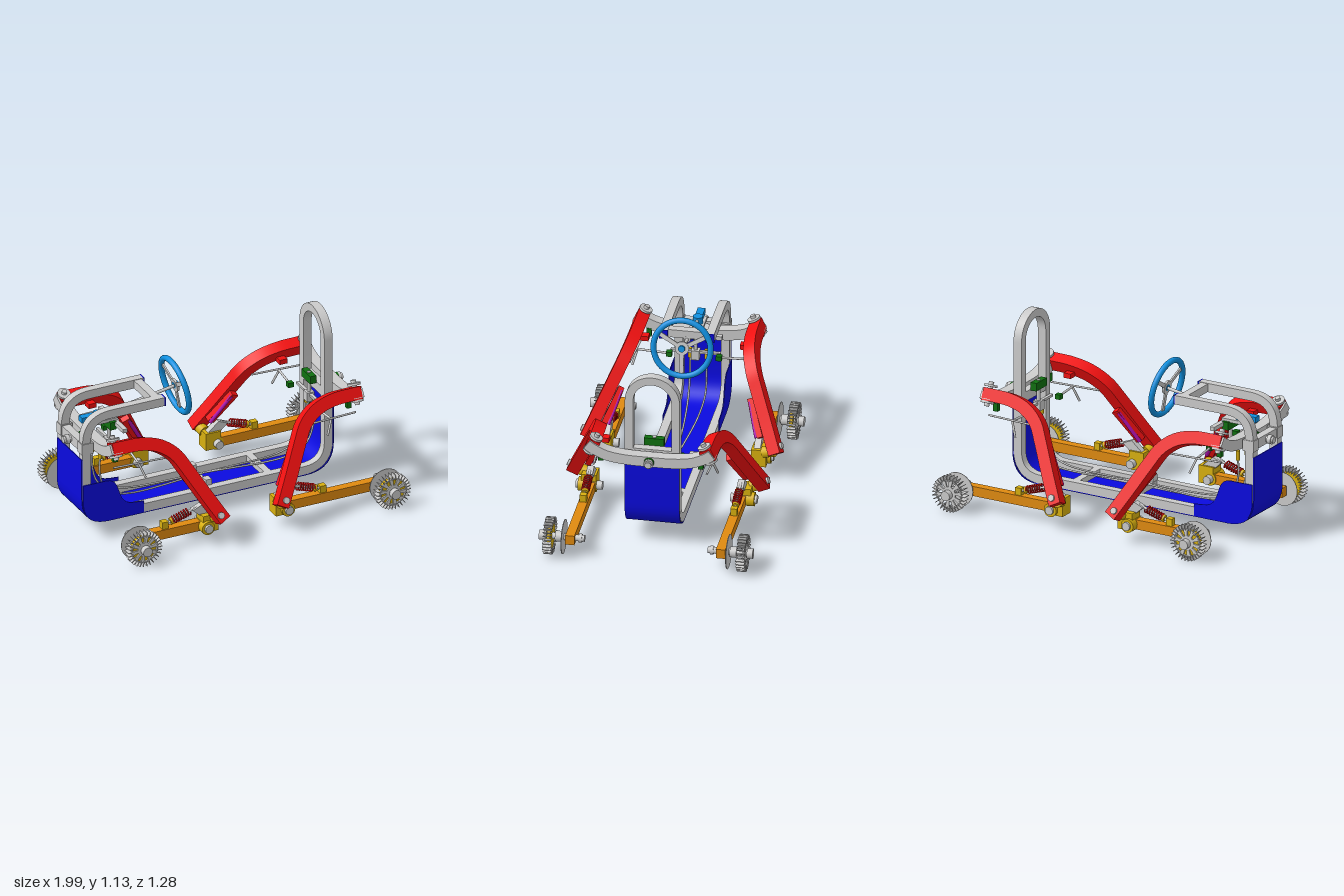
import * as THREE from 'three';
import { toCreasedNormals } from 'three/addons/utils/BufferGeometryUtils.js';

const GREY = 0xcccccc, BLUE = 0x0a0adf, RED = 0xf01010, ORANGE = 0xe08a10, YELLOW = 0xd8b010;
const SKY = 0x1090e0, GREEN = 0x107010, MAGENTA = 0xb010b0;
const mats = {};
const mat = (c) => (mats[c] ??= new THREE.MeshStandardMaterial({ color: c, side: THREE.DoubleSide }));
const V = (x, y, z) => new THREE.Vector3(x, y, z);

function add(parent, name, geo, color = GREY, x = 0, y = 0, z = 0) {
  const m = new THREE.Mesh(geo, mat(color));
  m.name = name;
  m.position.set(x, y, z);
  parent.add(m);
  return m;
}
const box = (w, h, d) => new THREE.BoxGeometry(w, h, d);
const cylZ = (r, h) => new THREE.CylinderGeometry(r, r, h, 24).rotateX(Math.PI / 2);
const cylX = (r, h) => new THREE.CylinderGeometry(r, r, h, 24).rotateZ(Math.PI / 2);

// straight round bar between two points
function rod(parent, name, a, b, r, color = GREY) {
  const d = b.clone().sub(a);
  const m = add(parent, name, new THREE.CylinderGeometry(r, r, d.length(), 14), color);
  m.position.copy(a).addScaledVector(d, 0.5);
  m.quaternion.setFromUnitVectors(V(0, 1, 0), d.normalize());
  return m;
}
function wire(parent, name, pts, r, color = GREY) {
  const curve = new THREE.CatmullRomCurve3(pts, false, 'centripetal');
  return add(parent, name, new THREE.TubeGeometry(curve, 60, r, 8), color);
}
function extrude(shape, depth) {
  const g = new THREE.ExtrudeGeometry(shape, { depth, bevelEnabled: false, curveSegments: 12 });
  return toCreasedNormals(g.translate(0, 0, -depth / 2), 0.6);
}
// flat band of constant width along a 2D line, extruded to a rectangular tube
function strip(pts, w, depth) {
  const side = (s) => pts.map((p, i) => {
    const t = pts[Math.min(i + 1, pts.length - 1)].clone().sub(pts[Math.max(i - 1, 0)]).normalize();
    return new THREE.Vector2(p.x - t.y * s * w / 2, p.y + t.x * s * w / 2);
  });
  return extrude(new THREE.Shape([...side(1), ...side(-1).reverse()]), depth);
}
const spline = (pts, n = 32) => new THREE.SplineCurve(pts.map((p) => new THREE.Vector2(...p))).getPoints(n);
// polyline with rounded corners
function rounded(list, r) {
  const p = list.map((q) => new THREE.Vector2(...q));
  const path = new THREE.Path().moveTo(p[0].x, p[0].y);
  for (let i = 1; i < p.length - 1; i++) {
    const a = p[i - 1].clone().sub(p[i]).setLength(r).add(p[i]);
    const b = p[i + 1].clone().sub(p[i]).setLength(r).add(p[i]);
    path.lineTo(a.x, a.y);
    path.quadraticCurveTo(p[i].x, p[i].y, b.x, b.y);
  }
  path.lineTo(p.at(-1).x, p.at(-1).y);
  return path.getPoints(10);
}

// spiked wheel with slotted face, axle and thin brake disc
function makeWheel(parent, x, yellow) {
  const w = new THREE.Group();
  w.name = 'wheel';
  w.position.set(x, 0.115, 0);
  parent.add(w);
  const face = new THREE.Shape().absarc(0, 0, 0.088, 0, Math.PI * 2);
  for (let i = 0; i < 10; i++) {
    const a = i * Math.PI / 5, h = new THREE.Path();
    h.absarc(0, 0, 0.08, a, a + 0.3, false);
    h.absarc(0, 0, 0.045, a + 0.3, a, true);
    h.closePath();
    face.holes.push(h);
  }
  add(w, 'wheelFace', extrude(face, 0.01), GREY, 0, 0, 0.595);
  if (yellow) add(w, 'wheelCore', cylZ(0.085, 0.02), YELLOW, 0, 0, 0.575);
  for (let i = 0; i < 30; i++) {
    const blade = box(0.032, 0.004, 0.052).translate(0.096, 0, 0).rotateZ(i * Math.PI / 15);
    add(w, 'wheelBlade', blade, GREY, 0, 0, 0.581);
  }
  add(w, 'brakeDisc', cylZ(0.105, 0.004), GREY, 0, 0, 0.495);
  add(w, 'axle', cylZ(0.02, 0.27), GREY, 0, 0, 0.505);
  add(w, 'hub', cylZ(0.03, 0.035), GREY, 0, 0, 0.625);
  add(w, 'innerHub', cylZ(0.032, 0.04), GREY, 0, 0, 0.525);
  add(w, 'axleNut', cylZ(0.026, 0.02), GREY, 0, 0, 0.395);
}

// one suspension corner, with x measured outward from the middle
function makeCorner(wheelX, yellow) {
  const c = new THREE.Group();
  c.name = 'suspensionCorner';
  // curved leg lying in a tilted plane
  const tilt = 0.415, k = Math.cos(tilt);
  const leg = new THREE.Group();
  leg.name = 'leg';
  leg.position.set(0, 0.69, 0.345);
  leg.rotation.x = -tilt;
  c.add(leg);
  const line = [[0.82, 0.685], [0.74, 0.685], [0.63, 0.68], [0.52, 0.65], [0.43, 0.585], [0.37, 0.49], [0.28, 0.33], [0.19, 0.175]];
  add(leg, 'legBeam', strip(spline(line.map(([x, y]) => [x, (y - 0.69) / k])), 0.078, 0.075), RED);
  for (const s of [-0.05, 0.05])
    add(leg, 'pivotDisc', new THREE.CylinderGeometry(0.04, 0.04, 0.014, 24), GREY, 0.795, s, 0);
  add(leg, 'kingpin', new THREE.CylinderGeometry(0.016, 0.016, 0.15, 16), GREY, 0.795, 0, 0);
  add(leg, 'footBolt', cylZ(0.02, 0.1), GREY, 0.215, -0.53, 0);
  // damper plate under the leg
  const plate = add(leg, 'damperPlate', box(0.05, 0.24, 0.035), RED, 0.3, -0.35, -0.06);
  plate.rotation.z = -0.53;
  rod(c, 'damperRod', V(0.34, 0.43, 0.385), V(0.23, 0.25, 0.445), 0.012, MAGENTA);
  // pivot bracket and trailing arm
  add(c, 'pivotBracket', box(0.1, 0.11, 0.09), YELLOW, 0.24, 0.135, 0.465);
  rod(c, 'footLink', V(0.215, 0.17, 0.49), V(0.2, 0.19, 0.56), 0.035, YELLOW);
  add(c, 'pivotCollar', cylZ(0.042, 0.11), YELLOW, 0.265, 0.115, 0.475);
  add(c, 'pivotPin', cylZ(0.026, 0.16), GREY, 0.265, 0.115, 0.465);
  add(c, 'trailingArm', box(wheelX - 0.225, 0.06, 0.055), ORANGE, (wheelX + 0.305) / 2, 0.115, 0.453);
  // spring and rocker
  const a = V(0.52, 0.165, 0.453), b = V(0.3, 0.235, 0.453);
  rod(c, 'springShaft', a, b, 0.008);
  const coil = [];
  for (let i = 0; i <= 84; i++) {
    const t = i / 84, q = t * Math.PI * 14;
    coil.push(a.clone().lerp(b, 0.25 + t * 0.5).add(V(Math.sin(q) * 0.007, Math.sin(q) * 0.021, Math.cos(q) * 0.022)));
  }
  add(c, 'spring', new THREE.TubeGeometry(new THREE.CatmullRomCurve3(coil), 168, 0.005, 6), RED);
  add(c, 'springMount', box(0.04, 0.05, 0.04), YELLOW, 0.52, 0.165, 0.453);
  rod(c, 'springSeat', a.clone().lerp(b, 0.18), a.clone().lerp(b, 0.25), 0.022, YELLOW);
  const rocker = new THREE.Shape([[0.2, 0.18], [0.29, 0.18], [0.34, 0.225], [0.28, 0.25]].map((p) => new THREE.Vector2(...p)));
  add(c, 'rocker', extrude(rocker, 0.04), GREY, 0, 0, 0.453);
  // steering links
  rod(c, 'tieRod', V(0.61, 0.555, 0.14), V(0.635, 0.55, 0.345), 0.007);
  rod(c, 'tieRodDrop', V(0.635, 0.55, 0.345), V(0.6, 0.46, 0.37), 0.007);
  rod(c, 'steeringLink', V(0.8, 0.555, 0.34), V(0.46, 0.555, 0.36), 0.006);
  add(c, 'steeringTab', box(0.05, 0.03, 0.05), RED, 0.63, 0.64, 0.3);
  add(c, 'tieRodJoint', box(0.035, 0.03, 0.035), GREEN, 0.61, 0.555, 0.15);
  add(c, 'kingpinStop', box(0.03, 0.05, 0.03), GREEN, 0.77, 0.6, 0.3);
  makeWheel(c, wheelX, yellow);
  return c;
}

export function createModel() {
  const g = new THREE.Group();
  g.name = 'frameBuggy';
  const mid = -0.0375;

  // side rails and nose side panels
  const rail = strip(rounded([[-0.41, 0.815], [-0.925, 0.815], [-0.925, 0.14], [0.67, 0.14], [0.67, 0.6]], 0.16), 0.055, 0.05);
  const panel = new THREE.Shape().moveTo(-0.95, 0.38).lineTo(-0.95, 0.27);
  panel.quadraticCurveTo(-0.95, 0.115, -0.78, 0.115).lineTo(-0.55, 0.115).lineTo(-0.55, 0.19).lineTo(-0.61, 0.195);
  panel.bezierCurveTo(-0.75, 0.2, -0.68, 0.38, -0.8, 0.38).closePath();
  for (const s of [-1, 1]) {
    add(g, 'sideRail', rail, GREY, 0, 0, s * 0.14);
    add(g, 'nosePanel', extrude(panel, 0.006), BLUE, 0, 0, s * 0.168);
    add(g, 'railEndCap', box(0.008, 0.056, 0.052), BLUE, -0.408, 0.815, s * 0.14);
    add(g, 'railCollar', box(0.075, 0.07, 0.06), GREY, -0.92, 0.62, s * 0.14);
    add(g, 'seatBracket', box(0.04, 0.04, 0.05), GREY, -0.1, 0.185, s * 0.1);
  }
  // belly skin
  add(g, 'bellySkin', strip(rounded([[-0.955, 0.55], [-0.955, 0.11], [0.702, 0.11], [0.702, 0.59]], 0.18), 0.006, 0.33), BLUE);
  // roll hoop
  const hoop = [new THREE.Vector2(-0.14, 0.6)];
  for (let i = 0; i <= 24; i++) {
    const a = Math.PI * (1 - i / 24);
    hoop.push(new THREE.Vector2(Math.cos(a) * 0.14, 0.97 + Math.sin(a) * 0.14));
  }
  hoop.push(new THREE.Vector2(0.14, 0.6));
  add(g, 'rollHoop', strip(hoop, 0.05, 0.055).rotateY(Math.PI / 2), GREY, 0.67);
  // cross members
  for (const [x, y, w, h] of [[-0.45, 0.815, 0.05, 0.05], [-0.1, 0.15, 0.045, 0.035], [0.29, 0.15, 0.045, 0.035],
    [-0.925, 0.62, 0.05, 0.06], [0.67, 0.62, 0.05, 0.06], [-0.67, 0.68, 0.03, 0.025]])
    add(g, 'crossMember', box(w, h, x === -0.67 ? 0.33 : 0.24), GREY, x, y, 0);

  // swinging end beams with their pivots
  const beam = strip(spline([[-0.375, 0.7], [-0.33, 0.67], [-0.25, 0.637], [-0.14, 0.622], [0, 0.62], [0.14, 0.622], [0.25, 0.637], [0.33, 0.67], [0.375, 0.7]], 48), 0.065, 0.07);
  for (const s of [-1, 1]) {
    const x = mid + s * 0.797;
    add(g, 'endBeam', beam.clone().rotateY(Math.PI / 2), GREY, x, 0, 0);
    add(g, 'beamPivot', cylX(0.02, 0.19), GREY, s < 0 ? -0.905 : 0.745, 0.62, 0);
    add(g, 'beamPivotRing', cylX(0.03, 0.02), GREEN, x + s * 0.04, 0.62, 0);
    add(g, 'beamPivotNut', cylX(0.028, 0.025), GREY, s < 0 ? -0.975 : 0.815, 0.62, 0);
    const in_ = mid + s * 0.66;
    add(g, 'steeringBracket', box(0.04, 0.05, 0.12), GREEN, in_, 0.67, 0);
    add(g, 'steeringPlate', box(0.05, 0.06, 0.05), GREY, in_, 0.54, 0);
    add(g, 'steeringSpindle', new THREE.CylinderGeometry(0.012, 0.012, 0.2, 14), GREY, in_, 0.6, 0);
    add(g, 'steeringCrossLink', box(0.02, 0.015, 0.3), GREY, in_, 0.555, 0);
    // control cables cross over from one end to the other
    const path = [[0.63, 0.5, 0.05], [0.625, 0.36, 0.05], [0.58, 0.25, 0.045], [0.47, 0.19, 0.035], [-0.06, 0.185, 0],
      [-0.6, 0.19, -0.04], [-0.74, 0.25, -0.05], [-0.78, 0.36, -0.05], [-0.78, 0.5, -0.05]];
    wire(g, 'controlCable', path.map(([a, b, c]) => V(a, b, c * s)), 0.006);
    for (const [cx, cz] of [[0.63, 0.05], [-0.78, -0.05]])
      add(g, 'cableEnd', new THREE.CylinderGeometry(0.012, 0.012, 0.06, 12), YELLOW, cx, 0.5, cz * s);
  }

  // four suspension corners
  for (const sx of [-1, 1]) for (const sz of [-1, 1]) {
    const c = makeCorner(sx < 0 ? 0.72 : 0.92, sx < 0 || sz > 0);
    c.position.x = mid;
    c.scale.set(sx, 1, sz);
    g.add(c);
  }

  // steering wheel, column and gearbox
  const wheel = new THREE.Group();
  wheel.name = 'steeringWheel';
  wheel.position.set(-0.26, 0.815, 0);
  wheel.rotation.z = 0.185;
  g.add(wheel);
  add(wheel, 'steeringRim', new THREE.TorusGeometry(0.172, 0.018, 14, 56).rotateY(Math.PI / 2), SKY);
  for (let i = 0; i < 3; i++) {
    const spoke = box(0.01, 0.16, 0.026).translate(0, -0.085, 0).rotateX(i * Math.PI * 2 / 3);
    add(wheel, 'steeringSpoke', spoke);
  }
  add(wheel, 'steeringBoss', cylX(0.042, 0.014));
  add(wheel, 'steeringCap', cylX(0.02, 0.03), SKY, 0.006, 0, 0);
  rod(g, 'steeringColumn', V(-0.26, 0.812, 0), V(-0.44, 0.782, 0), 0.01);
  rod(g, 'columnJoint', V(-0.42, 0.785, 0), V(-0.465, 0.777, 0), 0.02);
  rod(g, 'lowerColumn', V(-0.44, 0.782, 0), V(-0.77, 0.73, 0), 0.01);
  add(g, 'steeringGearbox', box(0.13, 0.035, 0.045), SKY, -0.82, 0.73, 0);
  add(g, 'gearboxHub', new THREE.CylinderGeometry(0.03, 0.03, 0.05, 20), SKY, -0.77, 0.73, 0);
  add(g, 'gearboxMount', box(0.2, 0.02, 0.08), GREY, -0.76, 0.7, 0);
  return g;
}
